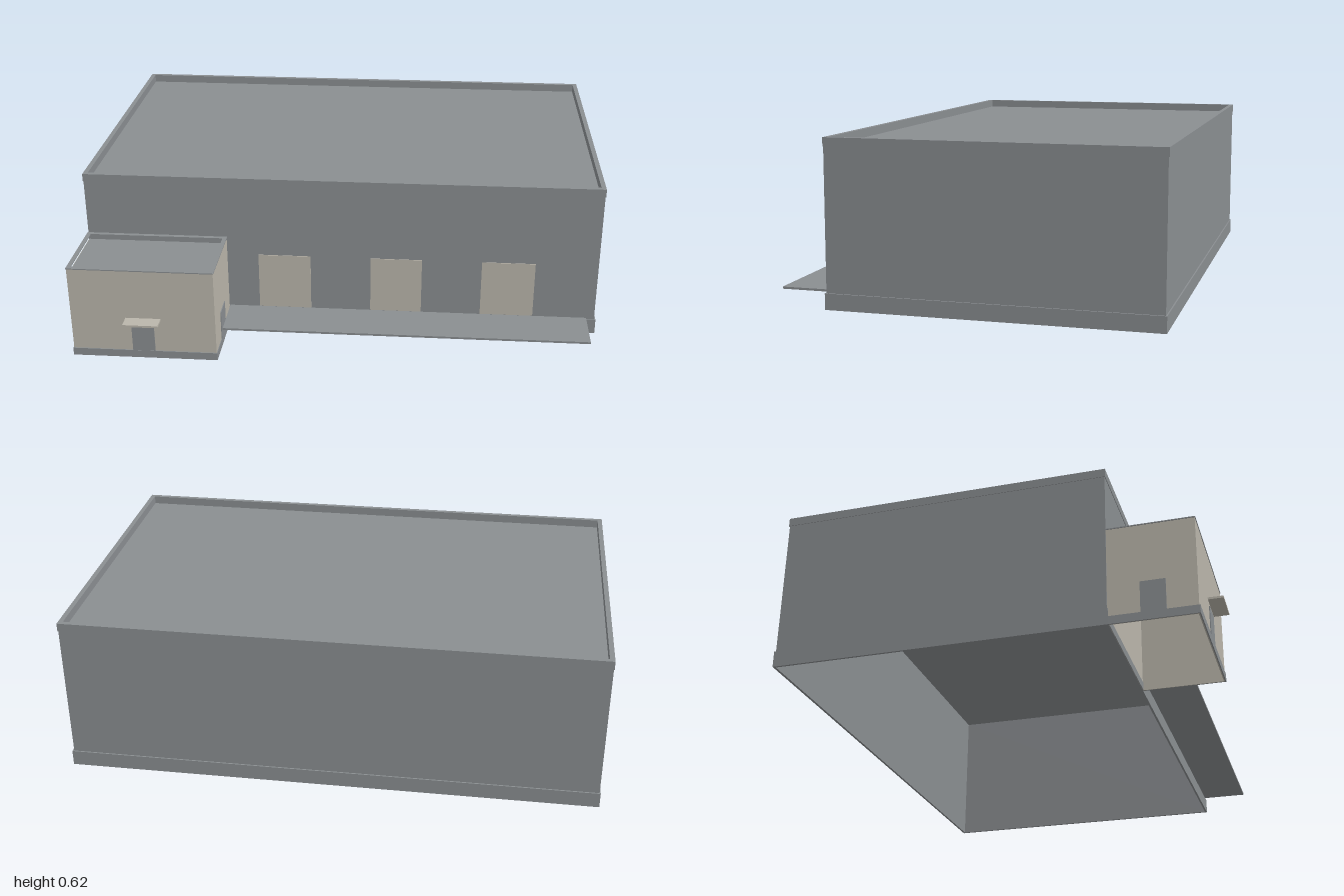
import * as THREE from 'three';

const mat = (name, color, side = THREE.FrontSide) => {
  const m = new THREE.MeshStandardMaterial({ color, side });
  m.name = name;
  return m;
};

export function createModel() {
  const grey = mat('cladding grey', 0x8a8e91);
  const beige = mat('warm beige', 0xbab6ab);
  const model = new THREE.Group();

  const add = (parent, name, geometry, material) => {
    const mesh = new THREE.Mesh(geometry, material);
    mesh.name = name;
    parent.add(mesh);
    return mesh;
  };

  // Box given by its limits on each axis
  const box = (parent, name, [x0, x1], [y0, y1], [z0, z1], material) => {
    const g = new THREE.BoxGeometry(x1 - x0, y1 - y0, z1 - z0);
    g.translate((x0 + x1) / 2, (y0 + y1) / 2, (z0 + z1) / 2);
    return add(parent, name, g, material);
  };

  // Rectangular ring of walls, open above and below
  const ring = (parent, name, [x0, x1], [y0, y1], [z0, z1], t, material) => {
    const rect = (S, i) => {
      const s = new S();
      s.moveTo(x0 + i, -z1 + i);
      s.lineTo(x1 - i, -z1 + i);
      s.lineTo(x1 - i, -z0 - i);
      s.lineTo(x0 + i, -z0 - i);
      s.closePath();
      return s;
    };
    const shape = rect(THREE.Shape, 0);
    shape.holes.push(rect(THREE.Path, t));
    const g = new THREE.ExtrudeGeometry(shape, { depth: y1 - y0, bevelEnabled: false });
    g.rotateX(-Math.PI / 2);
    g.translate(0, y0, 0);
    return add(parent, name, g, material);
  };

  // Main hall: hollow shell with parapet, flat roof and plinth
  const hall = new THREE.Group();
  hall.name = 'mainHall';
  model.add(hall);
  const hx = [-0.996, 0.994], hz = [-0.787, 0.426];
  ring(hall, 'hallWalls', hx, [0, 0.585], hz, 0.004, grey);
  ring(hall, 'hallParapet', [-0.998, 0.996], [0.585, 0.617], [-0.79, 0.428], 0.018, grey);
  box(hall, 'hallRoof', [-0.99, 0.988], [0.579, 0.585], [-0.782, 0.421], grey);
  ring(hall, 'hallPlinth', [-1, 1], [0, 0.06], [-0.792, 0.43], 0.007, grey);

  // Loading doors and the dock shelf below them
  for (const [x0, x1] of [[-0.325, -0.12], [0.115, 0.315], [0.547, 0.753]]) {
    box(hall, 'loadingDoor', [x0, x1], [0.068, 0.295], [0.424, 0.429], beige);
  }
  box(hall, 'dockShelf', [-0.445, 0.963], [0.058, 0.066], [0.426, 0.612], grey);

  // Front office block
  const office = new THREE.Group();
  office.name = 'officeBlock';
  model.add(office);
  const ox0 = -0.997, ox1 = -0.448, oz0 = 0.427, oz1 = 0.735;
  ring(office, 'officeWalls', [ox0, ox1], [0, 0.338], [oz0, oz1], 0.004, beige);
  box(office, 'officeRoof', [ox0 + 0.003, ox1 - 0.003], [0.334, 0.34], [oz0, oz1 - 0.003], grey);
  ring(office, 'officePlinth', [-1, -0.445], [0, 0.03], [oz0, 0.739], 0.006, grey);

  // Thin outer parapet skin with a coping on top
  const skin = (w, x, z, turn) => {
    const m = add(office, 'officeParapet', new THREE.PlaneGeometry(w, 0.031), beige);
    m.position.set(x, 0.3515, z);
    m.rotation.y = turn;
  };
  skin(ox1 - ox0, (ox0 + ox1) / 2, oz1, 0);
  skin(oz1 - oz0, ox1, (oz0 + oz1) / 2, Math.PI / 2);
  skin(oz1 - oz0, ox0, (oz0 + oz1) / 2, -Math.PI / 2);
  ring(office, 'officeCoping', [-0.999, -0.446], [0.365, 0.369], [oz0, 0.737], 0.016, grey);

  // Front door with canopy, and one opening on each flank
  box(office, 'frontDoor', [-0.768, -0.682], [0.03, 0.145], [0.732, 0.738], grey);
  box(office, 'doorCanopy', [-0.788, -0.655], [0.16, 0.168], [0.735, 0.79], beige);
  for (const x of [ox0, ox1]) {
    box(office, 'sideDoor', [x - 0.003, x + 0.003], [0.03, 0.145], [0.54, 0.628], grey);
  }
  return model;
}
